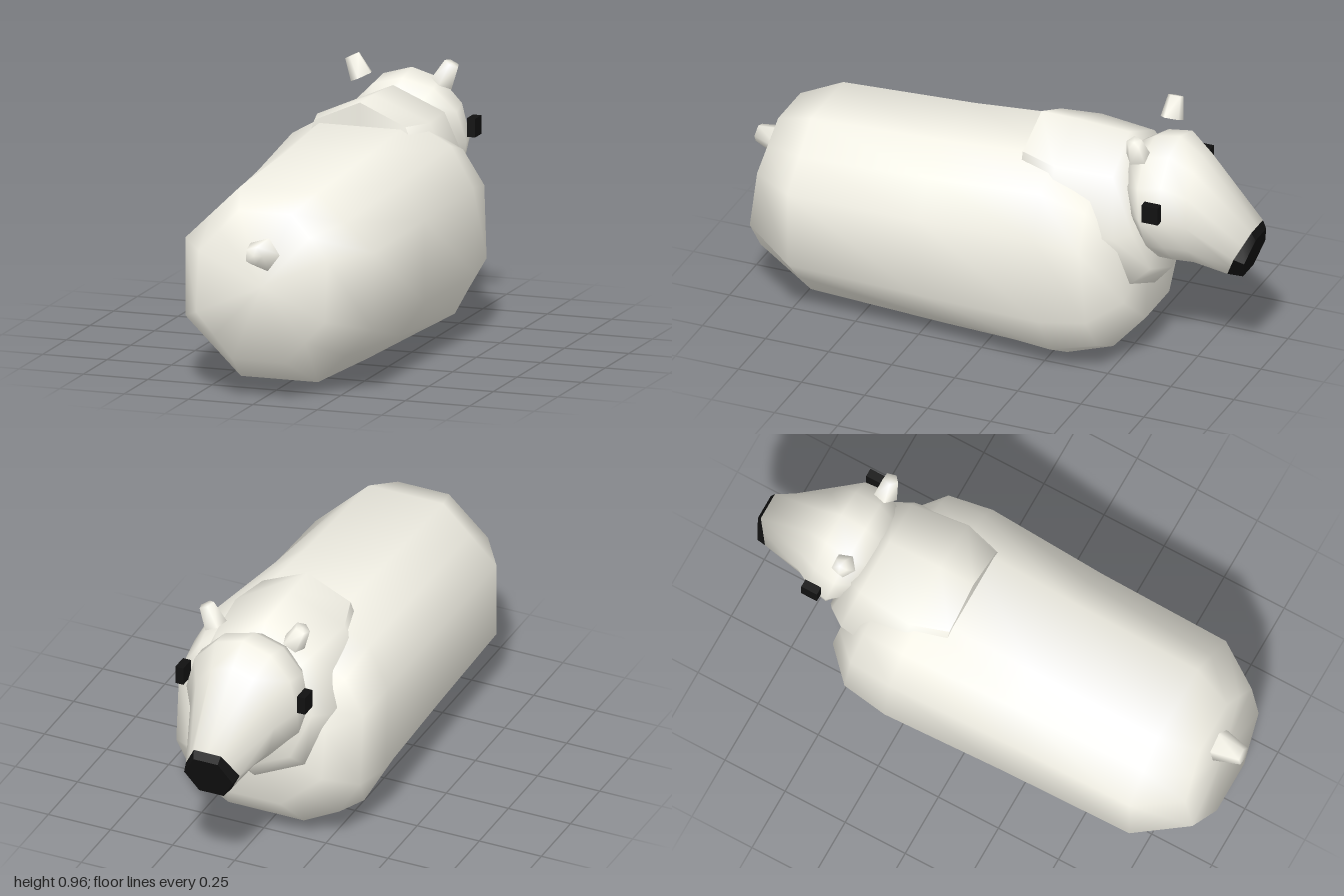
import * as THREE from 'three';
import { toCreasedNormals } from 'three/addons/utils/BufferGeometryUtils.js';

const skin = new THREE.MeshStandardMaterial({ color: 0xf3f1e6 });
const black = new THREE.MeshStandardMaterial({ color: 0x111111 });

// Unit cross-sections, counter-clockwise from the top as seen from +z
const roundProfile = (n) => Array.from({ length: n }, (_, i) => {
  const a = Math.PI / 2 + (i / n) * Math.PI * 2;
  return [Math.cos(a), Math.sin(a)];
});
// Flat-topped hexagon: every second point is pulled in to an edge middle
const hexProfile = roundProfile(12).map(([x, y], i) => (i % 2 ? [x, y / 0.866] : [x * 0.866, y]));
// Octagon whose diagonal sides bulge out to the corner value m
function bulgedProfile(m) {
  const points = [];
  for (let q = 0; q < 4; q++) {
    for (const [x, y] of [[1, 0.41], [m, m], [0.41, 1]]) {
      points.push([[x, y], [-y, x], [-x, -y], [y, -x]][q]);
    }
  }
  return points;
}

// Tilted ring from the z, y of its top, the z, y of its bottom and its half width
const ring = (profile) => ([zt, yt, zb, yb, w]) => ({ top: [zt, yt], bottom: [zb, yb], w, profile });

// Skin the rings, given rear to front, and cap both ends
function loft(rings, crease = 1.5) {
  const positions = [];
  const index = [];
  const n = rings[0].profile.length;
  for (const { top, bottom, w, profile } of rings) {
    for (const [px, py] of profile) {
      const t = (py + 1) / 2;
      positions.push(px * w, THREE.MathUtils.lerp(bottom[1], top[1], t), THREE.MathUtils.lerp(bottom[0], top[0], t));
    }
  }
  for (let i = 0; i < rings.length - 1; i++) {
    for (let j = 0; j < n; j++) {
      const a = i * n + j, b = i * n + (j + 1) % n;
      index.push(a, a + n, b, b, a + n, b + n);
    }
  }
  [0, rings.length - 1].forEach((r, end) => {
    const { top, bottom } = rings[r];
    const c = positions.length / 3;
    positions.push(0, (top[1] + bottom[1]) / 2, (top[0] + bottom[0]) / 2);
    for (let j = 0; j < n; j++) {
      const a = r * n + j, b = r * n + (j + 1) % n;
      if (end) index.push(c, b, a);
      else index.push(c, a, b);
    }
  });
  const g = new THREE.BufferGeometry();
  g.setAttribute('position', new THREE.Float32BufferAttribute(positions, 3));
  g.setIndex(index);
  return toCreasedNormals(g, crease);
}

export function createModel() {
  const model = new THREE.Group();
  const add = (name, geometry, material = skin) => {
    const mesh = new THREE.Mesh(geometry, material);
    mesh.name = name;
    model.add(mesh);
    return mesh;
  };

  // Barrel body
  const flat = ring(bulgedProfile(0.705));
  const middle = ring(bulgedProfile(0.75));
  const full = ring(bulgedProfile(0.79));
  add('body', loft([
    flat([0.87, 0.69, 0.94, 0.15, 0.25]),
    flat([0.72, 0.745, 0.72, 0.035, 0.365]),
    middle([0.2, 0.77, 0.2, 0.012, 0.372]),
    full([-0.25, 0.805, -0.3, 0, 0.39]),
    full([-0.42, 0.74, -0.48, 0.06, 0.37]),
    flat([-0.52, 0.64, -0.59, 0.18, 0.265]),
  ]));

  // Neck, sunk into the shoulders
  add('neck', loft([
    [-0.13, 0.885, -0.14, 0.35, 0.25],
    [-0.27, 0.885, -0.3, 0.27, 0.31],
    [-0.48, 0.875, -0.58, 0.27, 0.275],
    [-0.53, 0.83, -0.65, 0.35, 0.235],
  ].map(ring(roundProfile(8)))));

  // Head and blunt six-sided nose share the muzzle ring
  const muzzle = ring(hexProfile)([-0.985, 0.59, -0.89, 0.4, 0.108]);
  const tip = ring(hexProfile)([-1, 0.56, -0.95, 0.4, 0.098]);
  add('head', loft([
    ...[
      [-0.515, 0.84, -0.62, 0.47, 0.2],
      [-0.58, 0.88, -0.65, 0.42, 0.235],
      [-0.68, 0.9, -0.7, 0.415, 0.222],
      [-0.77, 0.835, -0.77, 0.41, 0.17],
    ].map(ring(roundProfile(12))),
    muzzle,
  ]));
  add('nose', loft([muzzle, tip], 0.5), black);

  // Eyes and ears, mirrored
  for (const side of [1, -1]) {
    const label = side > 0 ? 'left' : 'right';
    add(label + 'Eye', new THREE.BoxGeometry(0.032, 0.07, 0.065), black).position.set(side * 0.245, 0.7, -0.67);
    const ear = add(label + 'Ear', toCreasedNormals(new THREE.CylinderGeometry(0.03, 0.045, 0.085, 5), 1.5));
    ear.position.set(side * 0.175, 0.912, -0.58);
    ear.rotation.z = -side * 0.45;
  }

  // Stubby tail, tipped slightly upward
  const tail = add('tail', toCreasedNormals(new THREE.CylinderGeometry(0.035, 0.068, 0.12, 5, 1, false, Math.PI / 2), 1.5));
  tail.position.set(0, 0.545, 0.934);
  tail.rotation.x = Math.PI / 2 - 0.15;
  return model;
}
